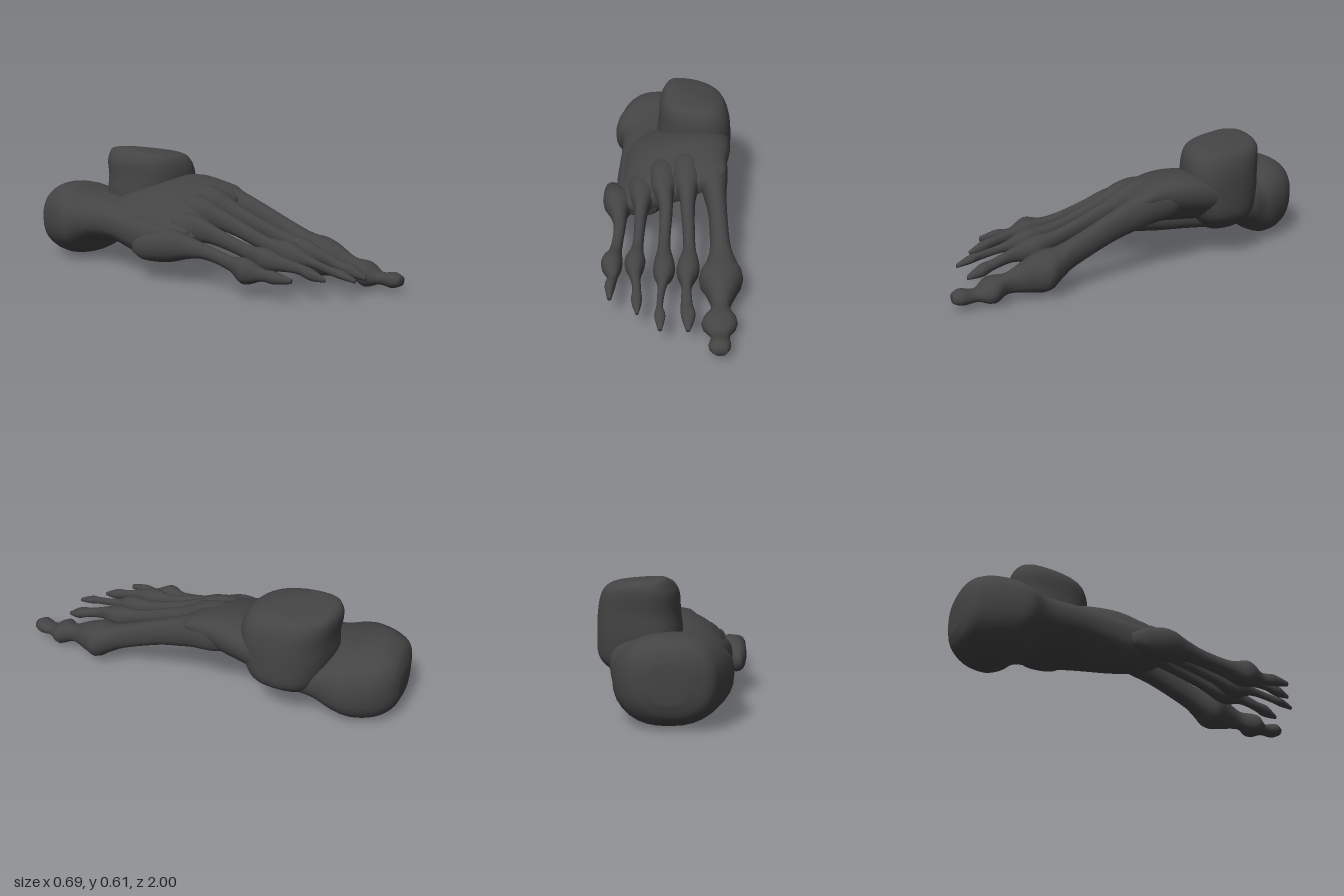
import * as THREE from 'three';

const material = new THREE.MeshStandardMaterial({ color: 0x444444 });

// Closed smooth skin through cross-sections [z, x0, x1, y0, y1, shear].
// power 2 gives ellipses, higher values give squarer sections.
function loft(name, sections, { power = 2, sides = 24, steps = 4 } = {}) {
  const centres = new THREE.CatmullRomCurve3(sections.map(([z, x0, x1, y0, y1]) =>
    new THREE.Vector3((x0 + x1) / 2, (y0 + y1) / 2, z)), false, 'catmullrom', 0.5);
  const sizes = new THREE.CatmullRomCurve3(sections.map(([, x0, x1, y0, y1, k = 0]) =>
    new THREE.Vector3((x1 - x0) / 2, (y1 - y0) / 2, k)), false, 'catmullrom', 0.5);
  const rings = (sections.length - 1) * steps;
  const position = [], index = [];
  const bend = (v) => Math.sign(v) * Math.abs(v) ** (2 / power);
  for (let i = 0; i <= rings; i++) {
    const c = centres.getPoint(i / rings), s = sizes.getPoint(i / rings);
    for (let j = 0; j < sides; j++) {
      const a = (j / sides) * Math.PI * 2;
      const dx = s.x * bend(Math.cos(a));
      position.push(c.x + dx, c.y + s.y * bend(Math.sin(a)) + s.z * dx, c.z);
    }
  }
  for (let i = 0; i < rings; i++) {
    for (let j = 0; j < sides; j++) {
      const a = i * sides + j, b = i * sides + (j + 1) % sides;
      index.push(a, b, a + sides, b, b + sides, a + sides);
    }
  }
  // end caps
  const first = (rings + 1) * sides, last = rings * sides;
  position.push(...centres.getPoint(0).toArray(), ...centres.getPoint(1).toArray());
  for (let j = 0; j < sides; j++) {
    const n = (j + 1) % sides;
    index.push(first, n, j, first + 1, last + j, last + n);
  }
  const geometry = new THREE.BufferGeometry();
  geometry.setAttribute('position', new THREE.Float32BufferAttribute(position, 3));
  geometry.setIndex(index);
  geometry.computeVertexNormals();
  const mesh = new THREE.Mesh(geometry, material);
  mesh.name = name;
  return mesh;
}

export function createModel() {
  const foot = new THREE.Group();
  foot.name = 'footBones';

  // heel bone, narrowing forward under the outer side of the arch
  foot.add(loft('heel', [
    [-1.0, -0.11, 0.05, 0.13, 0.29],
    [-0.97, -0.21, 0.12, 0.06, 0.36],
    [-0.9, -0.25, 0.18, 0.015, 0.4, -0.03],
    [-0.8, -0.285, 0.22, 0.005, 0.4, -0.05],
    [-0.72, -0.3, 0.235, 0.03, 0.375, -0.04],
    [-0.62, -0.26, 0.26, 0.1, 0.36],
    [-0.45, -0.26, 0.25, 0.11, 0.35],
    [-0.33, -0.27, 0.14, 0.09, 0.33],
    [-0.18, -0.28, 0.02, 0.07, 0.3],
    [-0.05, -0.27, -0.03, 0.09, 0.28],
    [0.05, -0.23, -0.07, 0.15, 0.26],
  ], { power: 2.4, sides: 32 }));

  // ankle bone, lofted upward, its roof rising to the back
  const ankle = loft('ankle', [
    [0.13, 0.03, 0.2, 0.4, 0.6, -0.1],
    [0.19, 0.0, 0.29, 0.34, 0.63, -0.15],
    [0.245, -0.04, 0.335, 0.31, 0.66, -0.2],
    [0.35, -0.06, 0.34, 0.27, 0.68, -0.2],
    [0.45, -0.05, 0.335, 0.26, 0.68, -0.2],
    [0.53, -0.045, 0.315, 0.275, 0.69, -0.2],
    [0.575, -0.025, 0.27, 0.32, 0.685, -0.2],
    [0.6, 0, 0.15, 0.45, 0.66, -0.2],
    [0.61, 0.02, 0.06, 0.53, 0.6, -0.2],
  ], { power: 2.5, sides: 32 });
  ankle.rotation.x = -Math.PI / 2;
  foot.add(ankle);

  // arched middle of the foot, high on the inner side
  foot.add(loft('midfoot', [
    [-0.56, -0.1, 0.2, 0.2, 0.36, 0.1],
    [-0.48, -0.22, 0.3, 0.16, 0.39, 0.15],
    [-0.35, -0.25, 0.33, 0.16, 0.43, 0.22],
    [-0.2, -0.25, 0.32, 0.17, 0.445, 0.27],
    [-0.08, -0.26, 0.295, 0.18, 0.415, 0.33],
    [0.02, -0.25, 0.285, 0.21, 0.375, 0.35],
    [0.08, -0.2, 0.24, 0.25, 0.325, 0.35],
  ], { power: 2.2, sides: 32 }));

  // five rays, each a long bone with its toe
  const rays = {
    bigToe: [
      [-0.22, 0.2, 0.27, 0.31, 0.39],
      [-0.12, 0.16, 0.3, 0.27, 0.43],
      [0, 0.15, 0.295, 0.25, 0.425],
      [0.08, 0.165, 0.285, 0.23, 0.395],
      [0.2, 0.185, 0.28, 0.2, 0.345],
      [0.4, 0.185, 0.285, 0.12, 0.26],
      [0.49, 0.16, 0.31, 0.07, 0.225],
      [0.56, 0.125, 0.335, 0.025, 0.215],
      [0.64, 0.155, 0.3, 0.03, 0.19],
      [0.74, 0.175, 0.26, 0.04, 0.14],
      [0.82, 0.125, 0.29, 0.01, 0.13],
      [0.89, 0.165, 0.25, 0.03, 0.09],
      [0.96, 0.15, 0.25, 0.025, 0.1],
      [1.0, 0.17, 0.23, 0.04, 0.085],
    ],
    secondToe: [
      [-0.2, 0.07, 0.11, 0.33, 0.4],
      [-0.08, 0.01, 0.17, 0.28, 0.44],
      [0.04, 0.02, 0.155, 0.26, 0.415],
      [0.1, 0.04, 0.135, 0.25, 0.38],
      [0.2, 0.05, 0.12, 0.23, 0.33],
      [0.42, 0.055, 0.115, 0.165, 0.25],
      [0.55, 0.02, 0.13, 0.11, 0.23],
      [0.65, 0.04, 0.09, 0.12, 0.19],
      [0.75, 0.035, 0.09, 0.1, 0.15],
      [0.81, 0.035, 0.1, 0.08, 0.14],
      [0.88, 0.055, 0.075, 0.075, 0.095],
    ],
    thirdToe: [
      [-0.2, -0.05, -0.01, 0.3, 0.37],
      [-0.08, -0.1, 0.04, 0.25, 0.405],
      [0.04, -0.095, 0.035, 0.24, 0.385],
      [0.1, -0.07, 0.015, 0.24, 0.355],
      [0.2, -0.055, 0.01, 0.22, 0.31],
      [0.4, -0.065, -0.005, 0.16, 0.24],
      [0.54, -0.09, 0.015, 0.1, 0.23],
      [0.64, -0.07, -0.025, 0.13, 0.18],
      [0.76, -0.075, -0.045, 0.11, 0.15],
      [0.82, -0.085, -0.035, 0.1, 0.14],
      [0.89, -0.07, -0.05, 0.09, 0.11],
    ],
    fourthToe: [
      [-0.2, -0.16, -0.12, 0.22, 0.29],
      [-0.08, -0.22, -0.07, 0.17, 0.325],
      [0.03, -0.205, -0.07, 0.17, 0.325],
      [0.1, -0.185, -0.1, 0.19, 0.305],
      [0.2, -0.18, -0.12, 0.185, 0.27],
      [0.38, -0.19, -0.135, 0.145, 0.22],
      [0.48, -0.225, -0.125, 0.11, 0.22],
      [0.57, -0.2, -0.145, 0.12, 0.19],
      [0.65, -0.185, -0.145, 0.12, 0.17],
      [0.72, -0.19, -0.14, 0.1, 0.155],
      [0.79, -0.17, -0.155, 0.1, 0.12],
    ],
    littleToe: [
      [-0.22, -0.325, -0.285, 0.13, 0.19],
      [-0.15, -0.345, -0.25, 0.1, 0.23],
      [-0.02, -0.345, -0.19, 0.1, 0.265],
      [0.09, -0.305, -0.215, 0.13, 0.24],
      [0.2, -0.285, -0.225, 0.14, 0.21],
      [0.35, -0.3, -0.24, 0.11, 0.18],
      [0.44, -0.34, -0.235, 0.065, 0.19],
      [0.53, -0.305, -0.255, 0.09, 0.15],
      [0.6, -0.315, -0.265, 0.09, 0.15],
      [0.69, -0.3, -0.28, 0.105, 0.13],
    ],
  };
  for (const [name, sections] of Object.entries(rays)) {
    foot.add(loft(name, sections, { power: 2.2, sides: 16 }));
  }
  return foot;
}
